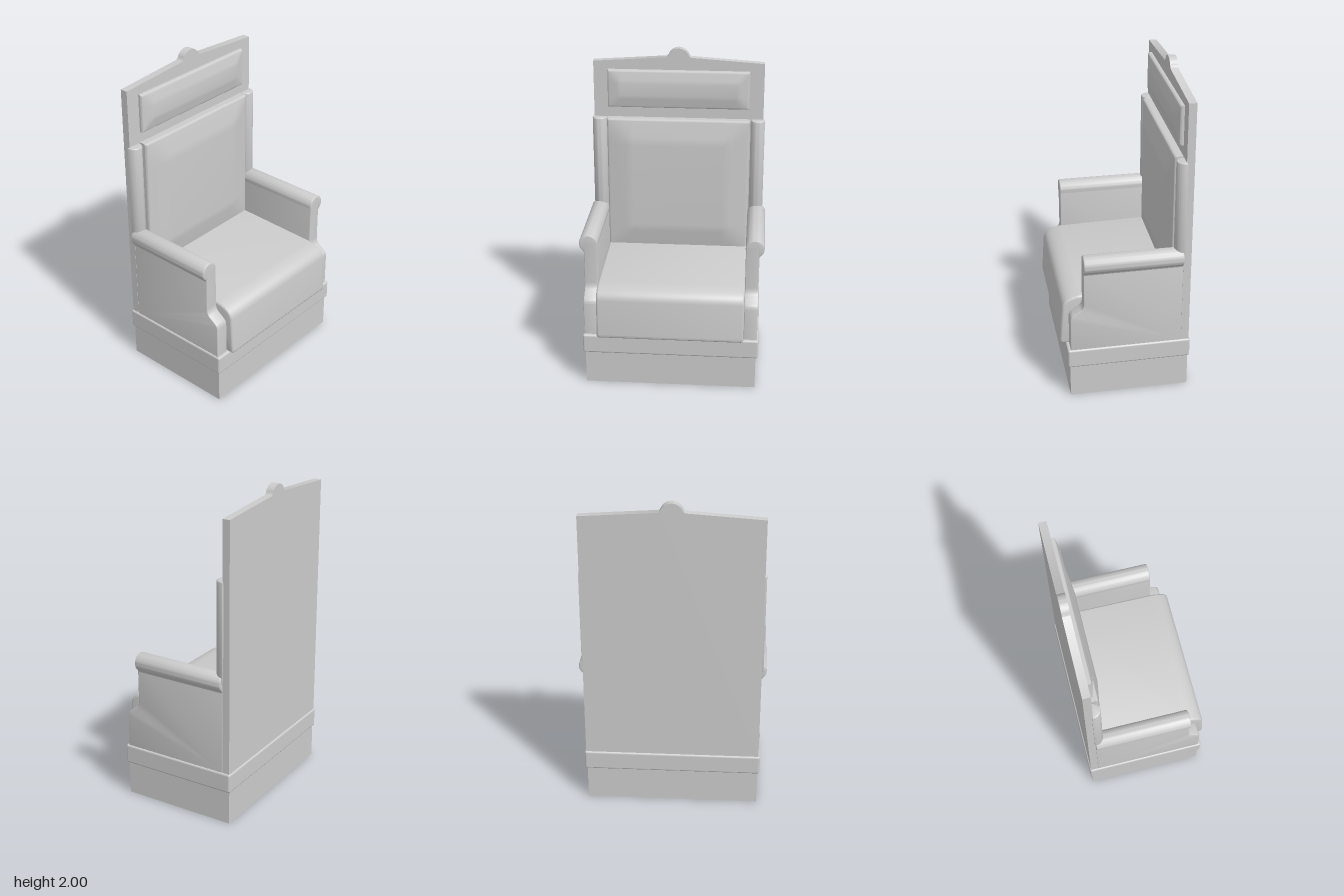
import * as THREE from 'three';
import { toCreasedNormals } from 'three/addons/utils/BufferGeometryUtils.js';
import { RoundedBoxGeometry } from 'three/addons/geometries/RoundedBoxGeometry.js';

const material = new THREE.MeshStandardMaterial({ color: 0xcccccc });
const openMaterial = new THREE.MeshStandardMaterial({ color: 0xcccccc, side: THREE.DoubleSide });

// Extrudes a shape, centred on its depth, with rounded edges kept inside the outline
function prism(shape, depth, bevel = 0) {
  const geo = new THREE.ExtrudeGeometry(shape, {
    depth: depth - 2 * bevel, curveSegments: 16, bevelEnabled: bevel > 0,
    bevelSize: bevel, bevelThickness: bevel, bevelOffset: -bevel, bevelSegments: 3,
  });
  geo.translate(0, 0, bevel - depth / 2);
  return toCreasedNormals(geo, 0.62);
}

// Upholstered pad: a box whose front rises from thin edges to a flat middle
function pad(width, height, edgeDepth, midDepth, slope) {
  const r = 0.014;
  const half = [0, 0.003, 0.007, r, 0.3 * slope + r, 0.65 * slope + r, slope + r];
  const n = half.length * 2 - 1;
  const geo = new THREE.BoxGeometry(1, 1, 1, n, n, 1);
  const pos = geo.attributes.position;
  const inset = (t) => {
    const i = Math.round((t + 0.5) * n);
    return half[Math.min(i, n - i)];
  };
  for (let i = 0; i < pos.count; i++) {
    const u = pos.getX(i), v = pos.getY(i), du = inset(u), dv = inset(v);
    const d = Math.min(du, dv);
    const rise = Math.min(1, Math.max(0, d - r) / slope);
    const k = Math.max(0, r - d);
    const front = edgeDepth + (midDepth - edgeDepth) * rise - (r - Math.sqrt(r * r - k * k));
    pos.setXYZ(i, Math.sign(u) * (width / 2 - du), Math.sign(v) * (height / 2 - dv),
      pos.getZ(i) > 0 ? front : 0);
  }
  geo.computeVertexNormals();
  return geo;
}

export function createModel() {
  const group = new THREE.Group();
  const add = (name, geo, x = 0, y = 0, z = 0, mat = material) => {
    const mesh = new THREE.Mesh(geo, mat);
    mesh.name = name;
    mesh.position.set(x, y, z);
    group.add(mesh);
    return mesh;
  };

  // Hollow plinth, open underneath
  let plinth = new THREE.CylinderGeometry(Math.SQRT1_2, Math.SQRT1_2, 1, 4, 1, true);
  plinth.rotateY(Math.PI / 4);
  plinth.scale(1.07, 0.22, 0.74);
  plinth = plinth.toNonIndexed();
  plinth.computeVertexNormals();
  add('plinth', plinth, 0, 0.11, -0.02, openMaterial);

  // Moulding around the base
  add('baseMoulding', new RoundedBoxGeometry(1.1, 0.125, 0.765, 3, 0.013), 0, 0.277, -0.018);

  // Tall back board with a pitched top and small crest
  const board = new THREE.Shape();
  board.moveTo(-0.54, 0.33);
  board.lineTo(0.54, 0.33);
  board.lineTo(0.54, 1.912);
  board.lineTo(0.08, 1.943);
  board.quadraticCurveTo(0.066, 1.948, 0.06, 1.965);
  board.bezierCurveTo(0.05, 1.985, 0.025, 2, 0, 2);
  board.bezierCurveTo(-0.025, 2, -0.05, 1.985, -0.06, 1.965);
  board.quadraticCurveTo(-0.066, 1.948, -0.08, 1.943);
  board.lineTo(-0.54, 1.912);
  add('backBoard', prism(board, 0.048), 0, 0, -0.368);

  // Upholstered back and head pads
  add('headPad', pad(0.9, 0.245, 0.028, 0.044, 0.07), 0, 1.74, -0.345);
  add('backPad', pad(0.91, 0.88, 0.055, 0.085, 0.155), 0, 1.11, -0.345);

  // Seat cushion rolling over the front edge, outline in (z, y)
  const seat = new THREE.Shape();
  seat.moveTo(-0.345, 0.338);
  seat.lineTo(0.38, 0.338);
  seat.quadraticCurveTo(0.399, 0.34, 0.398, 0.362);
  seat.lineTo(0.383, 0.59);
  seat.bezierCurveTo(0.378, 0.635, 0.345, 0.66, 0.27, 0.671);
  seat.lineTo(-0.345, 0.685);
  const seatGeo = prism(seat, 0.915, 0.014);
  seatGeo.rotateY(-Math.PI / 2);
  add('seatCushion', seatGeo);

  // Arm panel, outline in (z, y)
  const arm = new THREE.Shape();
  arm.moveTo(-0.345, 0.335);
  arm.lineTo(0.345, 0.335);
  arm.lineTo(0.345, 0.545);
  arm.quadraticCurveTo(0.343, 0.57, 0.325, 0.582);
  arm.lineTo(0.282, 0.612);
  arm.quadraticCurveTo(0.262, 0.628, 0.262, 0.66);
  arm.lineTo(0.262, 0.93);
  arm.lineTo(-0.345, 0.93);
  const armGeo = prism(arm, 0.084, 0.006);
  armGeo.rotateY(-Math.PI / 2);

  // Rounded armrest with a small neck flowing into the panel
  const roll = new THREE.Shape();
  roll.absarc(0, 0, 0.058, -0.75, Math.PI + 0.3, false);
  roll.lineTo(-0.056, -0.07);
  roll.lineTo(0.026, -0.07);
  roll.quadraticCurveTo(0.028, -0.05, 0.0424, -0.0395);
  const rollGeo = prism(roll, 0.607, 0.008);

  // Half-round upright, outline in (x, z)
  const post = new THREE.Shape();
  post.moveTo(-0.045, -0.005);
  post.lineTo(0.045, -0.005);
  post.lineTo(0.045, 0.015);
  post.bezierCurveTo(0.04, 0.035, 0.025, 0.054, 0, 0.054);
  post.bezierCurveTo(-0.025, 0.054, -0.04, 0.035, -0.045, 0.015);
  const postGeo = prism(post, 0.63, 0.008);
  postGeo.rotateX(Math.PI / 2);

  for (const [side, s] of [['left', 1], ['right', -1]]) {
    add(side + 'ArmPanel', armGeo, s * 0.499, 0, 0);
    // The roll outline is mirrored by turning it about the vertical
    add(side + 'Armrest', rollGeo, s * 0.513, 0.92, -0.0415).rotation.y = s > 0 ? 0 : Math.PI;
    add(side + 'BackPost', postGeo, s * 0.506, 1.235, -0.345);
  }
  return group;
}
